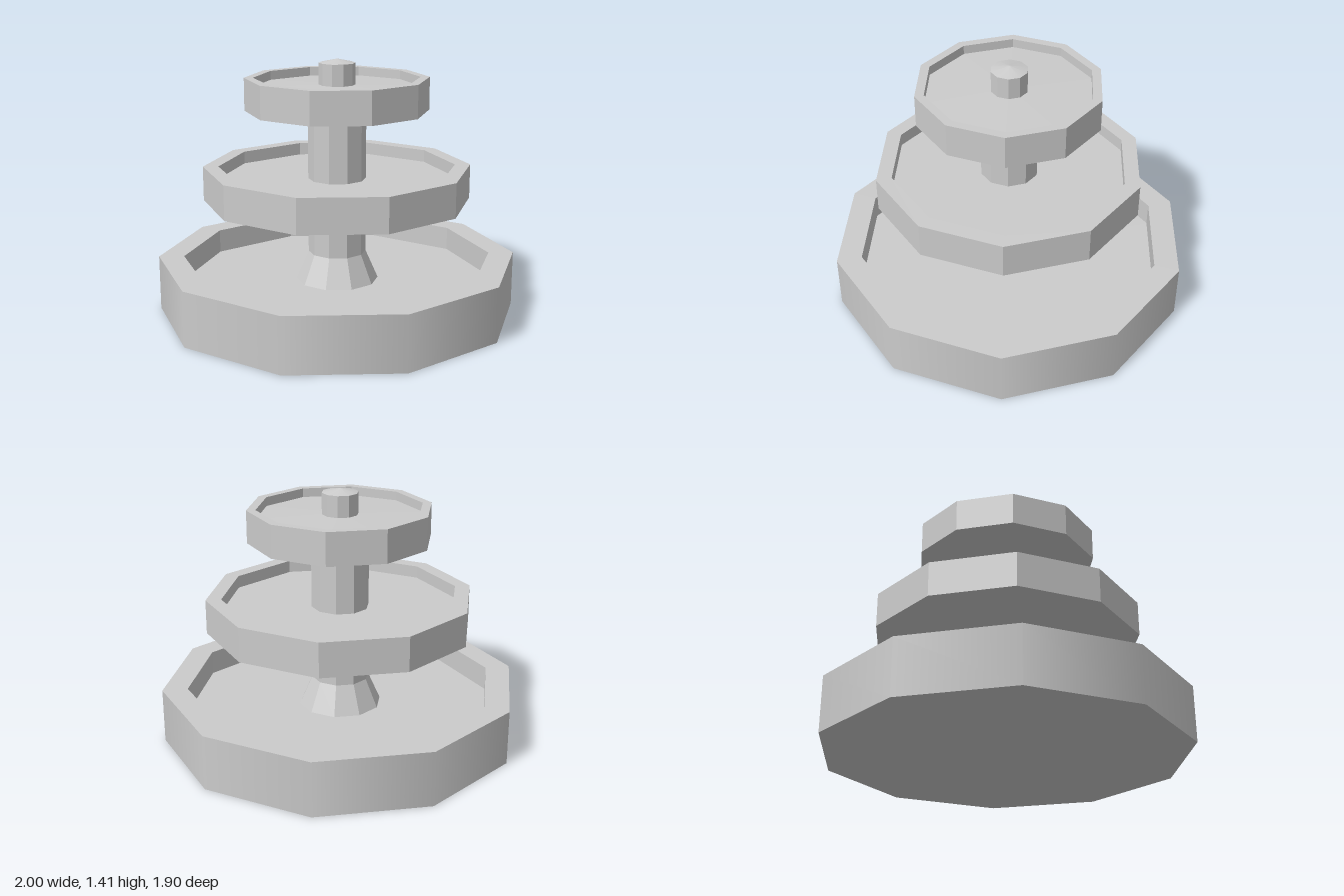
import * as THREE from 'three';

const SIDES = 10;
const flat = new THREE.MeshStandardMaterial({ color: 0xcccccc, flatShading: true });
const smooth = new THREE.MeshStandardMaterial({ color: 0xcccccc });

// Ten-sided turned solid with corners on the x axis; profile runs bottom to top
function turned(name, profile, material = flat) {
  const points = profile.map(([r, y]) => new THREE.Vector2(r, y));
  const mesh = new THREE.Mesh(new THREE.LatheGeometry(points, SIDES, Math.PI / 2), material);
  mesh.name = name;
  return mesh;
}

// Shallow basin: flat underside, outer wall, rim, inner wall and floor
function basin(name, outer, inner, bottom, top, floorEdge, floorCentre) {
  return turned(name, [
    [0, bottom], [outer, bottom], [outer, top],
    [inner, top], [inner, floorEdge], [0, floorCentre],
  ]);
}

export function createModel() {
  const fountain = new THREE.Group();
  fountain.name = 'tieredFountain';

  // Bottom pool, with a softly shaded outer wall
  const pool = new THREE.Group();
  pool.name = 'pool';
  pool.add(
    turned('poolUnderside', [[0, 0], [1, 0]]),
    turned('poolWall', [[1, 0], [1, 0.305]], smooth),
    turned('poolInside', [[1, 0.305], [0.86, 0.305], [0.86, 0.17], [0, 0.17]]),
  );
  fountain.add(pool);

  // Column with flared foot
  fountain.add(turned('column', [[0.23, 0.17], [0.16, 0.33], [0.16, 1.14]]));

  // Upper basins
  fountain.add(basin('middleBasin', 0.74, 0.655, 0.63, 0.82, 0.75, 0.75));
  fountain.add(basin('topBasin', 0.505, 0.455, 1.13, 1.31, 1.26, 1.275));

  // Spout with a low pointed cap
  fountain.add(turned('spout', [[0.1, 1.26], [0.1, 1.39]]));
  fountain.add(turned('spoutCap', [[0.1, 1.39], [0, 1.412]], smooth));

  return fountain;
}
